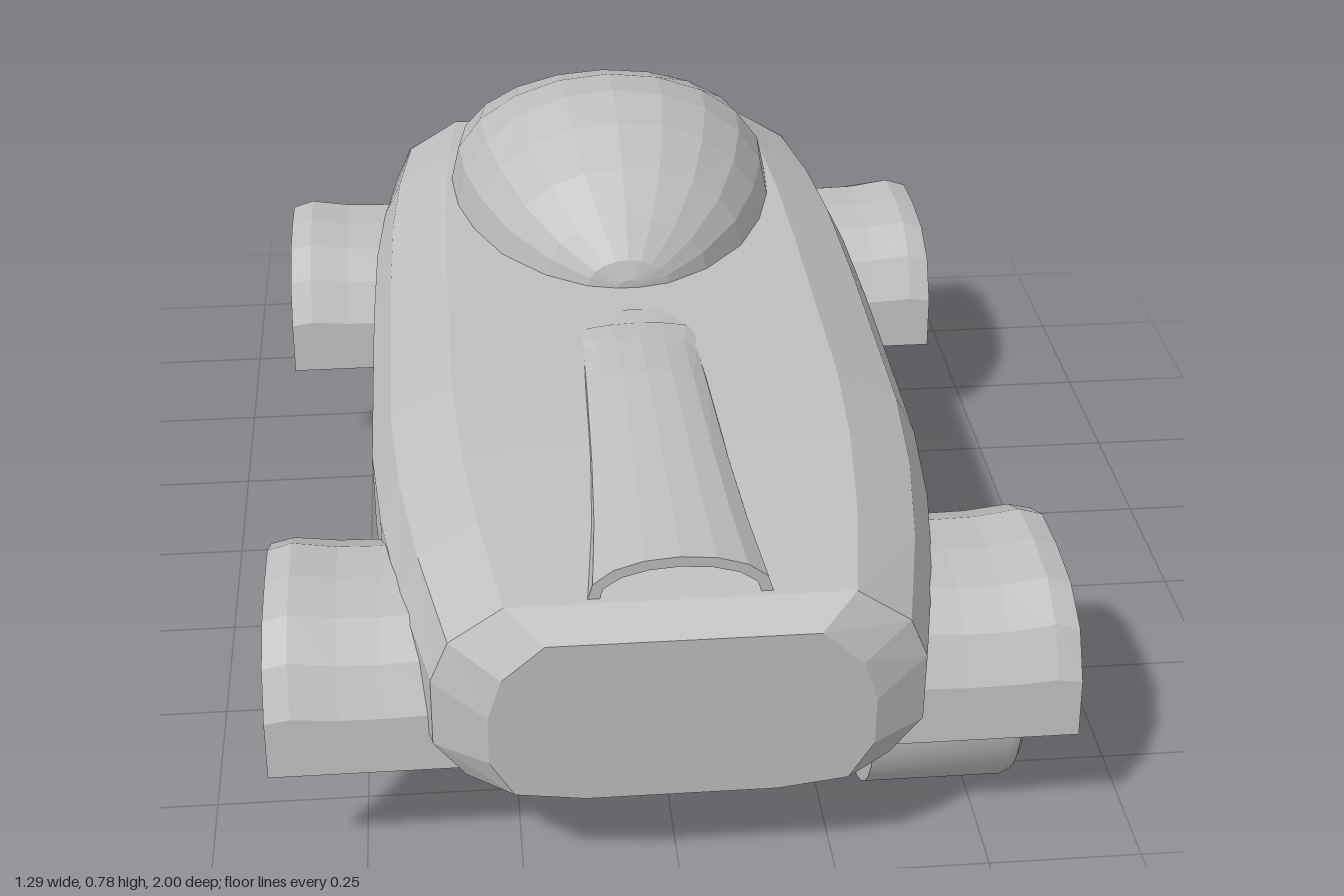
import * as THREE from 'three';
import { toCreasedNormals } from 'three/addons/utils/BufferGeometryUtils.js';

const grey = new THREE.MeshStandardMaterial({ color: 0xbfbfbf });
grey.name = 'bodyGrey';

// Faceted skin through closed rings; each ring runs anticlockwise seen from the last ring's end.
// hollow: each ring is an outer arc followed by the inner arc coming back.
function loft(rings, hollow = false) {
  const pos = [];
  const tri = (...p) => p.forEach((v) => pos.push(...v));
  const n = rings[0].length;
  for (let r = 0; r + 1 < rings.length; r++) {
    const a = rings[r], b = rings[r + 1];
    for (let i = 0; i < n; i++) {
      const j = (i + 1) % n;
      tri(a[i], a[j], b[j]);
      tri(a[i], b[j], b[i]);
    }
  }
  const cap = (ring, flip) => {
    const put = (a, b, c) => (flip ? tri(a, c, b) : tri(a, b, c));
    if (hollow) {
      for (let i = 0; i < n / 2 - 1; i++) {
        put(ring[i], ring[i + 1], ring[n - 2 - i]);
        put(ring[i], ring[n - 2 - i], ring[n - 1 - i]);
      }
    } else {
      const c = [0, 1, 2].map((k) => ring.reduce((s, p) => s + p[k], 0) / n);
      ring.forEach((p, i) => put(c, p, ring[(i + 1) % n]));
    }
  };
  cap(rings[0], true);
  cap(rings[rings.length - 1], false);
  const g = new THREE.BufferGeometry();
  g.setAttribute('position', new THREE.Float32BufferAttribute(pos, 3));
  g.computeVertexNormals();
  return g;
}

// Chamfered hull outline, anticlockwise from the bottom middle
function hullSection(w, top, bot) {
  const half = [[0.5 * w, bot], [0.87 * w, bot + 0.015], [w, bot + 0.08],
    [w, top - 0.13], [0.925 * w, top - 0.06], [0.7 * w, top]];
  return [...half, ...half.map(([x, y]) => [-x, y]).reverse()];
}

export function createModel() {
  const model = new THREE.Group();
  const add = (name, geometry) => {
    const mesh = new THREE.Mesh(geometry, grey);
    mesh.name = name;
    model.add(mesh);
    return mesh;
  };

  // Hull: z, half width, top, bottom
  const hull = [
    [-0.8, 0.43, 0.53, 0.225], [-0.6, 0.455, 0.545, 0.21], [-0.4, 0.47, 0.55, 0.2],
    [-0.15, 0.475, 0.55, 0.2], [0.35, 0.475, 0.55, 0.2], [0.55, 0.46, 0.547, 0.2],
    [0.75, 0.43, 0.537, 0.195], [0.95, 0.385, 0.515, 0.185], [1, 0.3, 0.475, 0.18],
  ];
  add('hull', loft(hull.map(([z, w, top, bot]) => hullSection(w, top, bot).map(([x, y]) => [x, y, z]))));

  // Tail plate with slots, narrowing backwards
  const plate = new THREE.Shape([
    [0.405, 0.27], [0.43, 0.31], [0.43, 0.4], [0.4, 0.47], [0.3, 0.53],
    [-0.3, 0.53], [-0.4, 0.47], [-0.43, 0.4], [-0.43, 0.31], [-0.405, 0.27],
  ].map(([x, y]) => new THREE.Vector2(x, y)));
  const slot = (x0, x1, y0, y1) => plate.holes.push(new THREE.Path([
    new THREE.Vector2(x0, y0), new THREE.Vector2(x0, y1), new THREE.Vector2(x1, y1), new THREE.Vector2(x1, y0)]));
  slot(-0.3, -0.23, 0.35, 0.46);
  slot(0.23, 0.3, 0.35, 0.46);
  slot(-0.15, -0.015, 0.36, 0.41);
  slot(0.015, 0.15, 0.36, 0.41);
  const tail = new THREE.ExtrudeGeometry(plate, { depth: 0.06, bevelEnabled: false });
  tail.translate(0, 0, -0.86);
  const p = tail.attributes.position;
  for (let i = 0; i < p.count; i++) {
    if (p.getZ(i) < -0.83) p.setXY(i, p.getX(i) * 0.9, 0.38 + (p.getY(i) - 0.38) * 0.8);
  }
  tail.computeVertexNormals();
  add('tailPlate', tail);

  // Row of fins under the tail
  for (let i = -3; i <= 3; i++) {
    const fin = add('tailFin', new THREE.BoxGeometry(0.055, 0.065, 0.07));
    fin.position.set(i * 0.1, 0.27, -0.82);
    fin.rotation.x = 0.2;
  }

  // Canopy: z, half width, top, rim height, depth below rim
  const canopy = [
    [-1, 0.015, 0.515, 0.51, 0.003], [-0.965, 0.09, 0.54, 0.515, 0.025], [-0.88, 0.175, 0.588, 0.525, 0.075],
    [-0.76, 0.25, 0.65, 0.54, 0.1], [-0.62, 0.297, 0.715, 0.55, 0.06], [-0.48, 0.315, 0.765, 0.55, 0.04],
    [-0.36, 0.305, 0.782, 0.55, 0.03], [-0.25, 0.276, 0.765, 0.55, 0.03], [-0.14, 0.226, 0.72, 0.55, 0.03],
    [-0.05, 0.15, 0.658, 0.55, 0.02], [0, 0.075, 0.6, 0.55, 0.02], [0.013, 0.02, 0.565, 0.55, 0.01],
  ];
  add('canopy', loft(canopy.map(([z, w, top, rim, depth]) => Array.from({ length: 20 }, (_, i) => {
    const a = (i / 20) * Math.PI * 2, s = Math.sin(a);
    return [w * Math.cos(a), rim + s * (s > 0 ? top - rim : depth), z];
  }))));

  // Hood scoop, open at the front: z, half width, foot height, top
  const scoop = [
    [0.1, 0.108, 0.53, 0.552], [0.16, 0.112, 0.53, 0.558], [0.165, 0.12, 0.53, 0.56], [0.21, 0.12, 0.53, 0.566],
    [0.24, 0.108, 0.53, 0.57], [0.38, 0.112, 0.53, 0.583], [0.6, 0.12, 0.52, 0.586],
    [0.78, 0.13, 0.515, 0.586], [0.94, 0.145, 0.505, 0.586],
  ];
  add('hoodScoop', loft(scoop.map(([z, w, foot, top]) => {
    const arc = (inset) => Array.from({ length: 9 }, (_, i) => {
      const a = (i / 8) * Math.PI;
      return [(w - inset) * Math.cos(a), foot + (top - foot - inset) * Math.sin(a) ** 0.8, z];
    });
    return [...arc(0), ...arc(0.018).reverse()];
  }), true));

  // Wheel arches: side profile as offset along z and height
  const arch = [[-0.228, 0.2], [-0.218, 0.3], [-0.175, 0.375], [-0.1, 0.413], [0, 0.42],
    [0.1, 0.413], [0.175, 0.375], [0.218, 0.3], [0.228, 0.2]];
  const flare = [[0.34, 0], [0.46, -0.008], [0.53, -0.006], [0.605, 0.006], [0.645, -0.007]];
  for (const [name, zc] of [['frontArch', 0.705], ['rearArch', -0.57]]) {
    for (const side of [1, -1]) {
      const rings = flare.map(([x, lift]) => {
        const at = (z, y) => [side * x, y + (lift * (y - 0.2)) / 0.22, zc + z];
        const inner = arch.map(([z, y]) => at(z * 0.935, y === 0.2 ? y : y - 0.014));
        return [...arch.map(([z, y]) => at(z, y)), ...inner.reverse()];
      });
      add(name, loft(side > 0 ? rings : rings.reverse(), true));
    }
  }

  // Wheel with dished rim: radius, distance along the axle
  const profile = [[0, 0], [0.195, 0], [0.195, 0.225], [0.188, 0.242], [0.175, 0.25], [0.166, 0.25],
    [0.16, 0.235], [0.148, 0.235], [0.142, 0.215], [0.115, 0.165], [0.075, 0.135], [0.022, 0.122],
    [0.018, 0.135], [0, 0.14]];
  const wheelShape = new THREE.LatheGeometry(profile.map(([r, h]) => new THREE.Vector2(r, h)), 32);
  wheelShape.rotateZ(-Math.PI / 2);
  const wheel = add('frontLeftWheel', toCreasedNormals(wheelShape, 0.5));
  wheel.position.set(0.32, 0.195, 0.71);

  return model;
}
